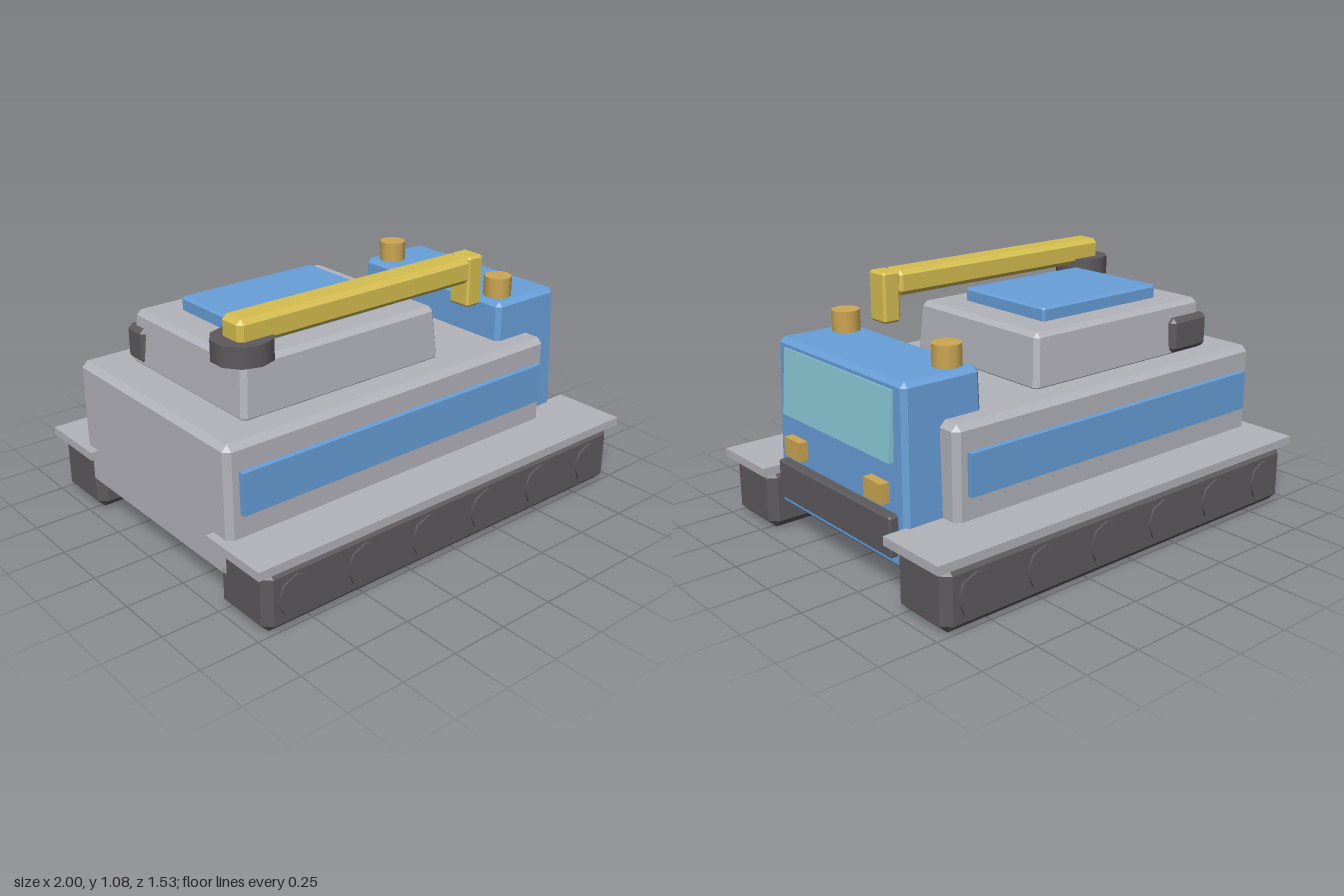
import * as THREE from 'three';
import { ConvexGeometry } from 'three/addons/geometries/ConvexGeometry.js';

const mat = (name, color, extra = {}) => {
  const m = new THREE.MeshStandardMaterial({ color, ...extra });
  m.name = name;
  return m;
};

export function createModel() {
  const grey = mat('bodyGrey', 0xb3b3bb);
  const dark = mat('darkGrey', 0x5d5a5e);
  const blue = mat('cabBlue', 0x689fd9);
  const glass = mat('windowGlass', 0x88c8d4);
  const yellow = mat('armYellow', 0xd6be50);
  const amber = mat('lampAmber', 0xcca651);

  const model = new THREE.Group();
  model.name = 'trackedVehicle';

  const add = (name, geometry, material, parent = model) => {
    const mesh = new THREE.Mesh(geometry, material);
    mesh.name = name;
    parent.add(mesh);
    return mesh;
  };

  // Box given by its ranges on each axis
  const box = (name, [x0, x1], [y0, y1], [z0, z1], material) => {
    const g = new THREE.BoxGeometry(x1 - x0, y1 - y0, z1 - z0);
    g.translate((x0 + x1) / 2, (y0 + y1) / 2, (z0 + z1) / 2);
    return add(name, g, material);
  };

  // Box with chamfered edges, drawn in by taper at its top (added at its foot)
  const chamferBox = (name, [x0, x1], [y0, y1], [z0, z1], bevel, material, taper = 0) => {
    const c = [(x0 + x1) / 2, (y0 + y1) / 2, (z0 + z1) / 2];
    const h = [(x1 - x0) / 2, (y1 - y0) / 2, (z1 - z0) / 2];
    const points = [];
    for (const sx of [-1, 1]) for (const sy of [-1, 1]) for (const sz of [-1, 1]) {
      for (let axis = 0; axis < 3; axis++) {
        // Each corner becomes three points, one on each adjoining face
        const e = h.map((v, i) => (i === axis ? v : v - bevel));
        const inset = (taper * (1 + (sy * e[1]) / h[1])) / 2;
        points.push(new THREE.Vector3(
          c[0] + sx * (e[0] - inset), c[1] + sy * e[1], c[2] + sz * (e[2] - inset)));
      }
    }
    return add(name, new ConvexGeometry(points), material);
  };

  // Hull and superstructure
  chamferBox('hull', [-0.965, 0.735], [0.125, 0.685], [-0.535, 0.535], 0.025, grey);
  chamferBox('upperHousing', [-0.79, 0.22], [0.67, 0.91], [-0.4, 0.4], 0.02, grey, 0.018);
  chamferBox('roofPanel', [-0.625, 0.05], [0.9, 0.968], [-0.255, 0.255], 0.01, blue);
  chamferBox('rearBox', [-0.797, -0.57], [0.69, 0.845], [-0.42, -0.29], 0.02, dark);

  // Cab with bumper and windscreen
  chamferBox('cab', [0.515, 0.91], [0.12, 0.857], [-0.455, 0.455], 0.02, blue, 0.018);
  chamferBox('bumper', [0.87, 0.945], [0.175, 0.343], [-0.4, 0.4], 0.008, dark);
  const screen = add('windscreen', new THREE.BoxGeometry(0.03, 0.28, 0.75), glass);
  screen.position.set(0.897, 0.683, 0);
  screen.rotation.z = 0.085;

  // Running gear, lamps and stripes on both sides
  for (const s of [1, -1]) {
    const span = (a, b) => (s > 0 ? [a, b] : [-b, -a]);
    const side = s > 0 ? 'Right' : 'Left';
    chamferBox('track' + side, [-0.965, 0.965], [0, 0.27], span(0.45, 0.755), 0.036, dark);
    box('fender' + side, [-1, 1], [0.263, 0.3], span(0.435, 0.765), grey);
    box('sideStripe' + side, [-0.91, 0.68], [0.4, 0.575], span(0.52, 0.56), blue);
    box('headlight' + side, [0.89, 0.942], [0.375, 0.457], span(0.23, 0.345), amber);

    for (let i = 0; i < 6; i++) {
      const wheel = add('wheel' + side, new THREE.CylinderGeometry(0.09, 0.09, 0.05, 8), dark);
      wheel.rotation.x = Math.PI / 2;
      wheel.position.set(-0.825 + i * 0.329, 0.135, s * 0.74);
    }

    const beacon = add('beacon' + side, new THREE.CylinderGeometry(0.061, 0.061, 0.1, 10), amber);
    beacon.position.set(0.62, 0.896, s * 0.342);
  }

  // Boom arm on its swivel
  const swivel = add('armSwivel', new THREE.CylinderGeometry(0.124, 0.124, 0.085, 10), dark);
  swivel.position.set(-0.74, 0.957, 0.338);
  chamferBox('arm', [-0.795, 0.39], [0.973, 1.083], [0.275, 0.402], 0.02, yellow);
  chamferBox('armTip', [0.38, 0.465], [0.862, 1.083], [0.284, 0.394], 0.01, yellow);

  return model;
}
